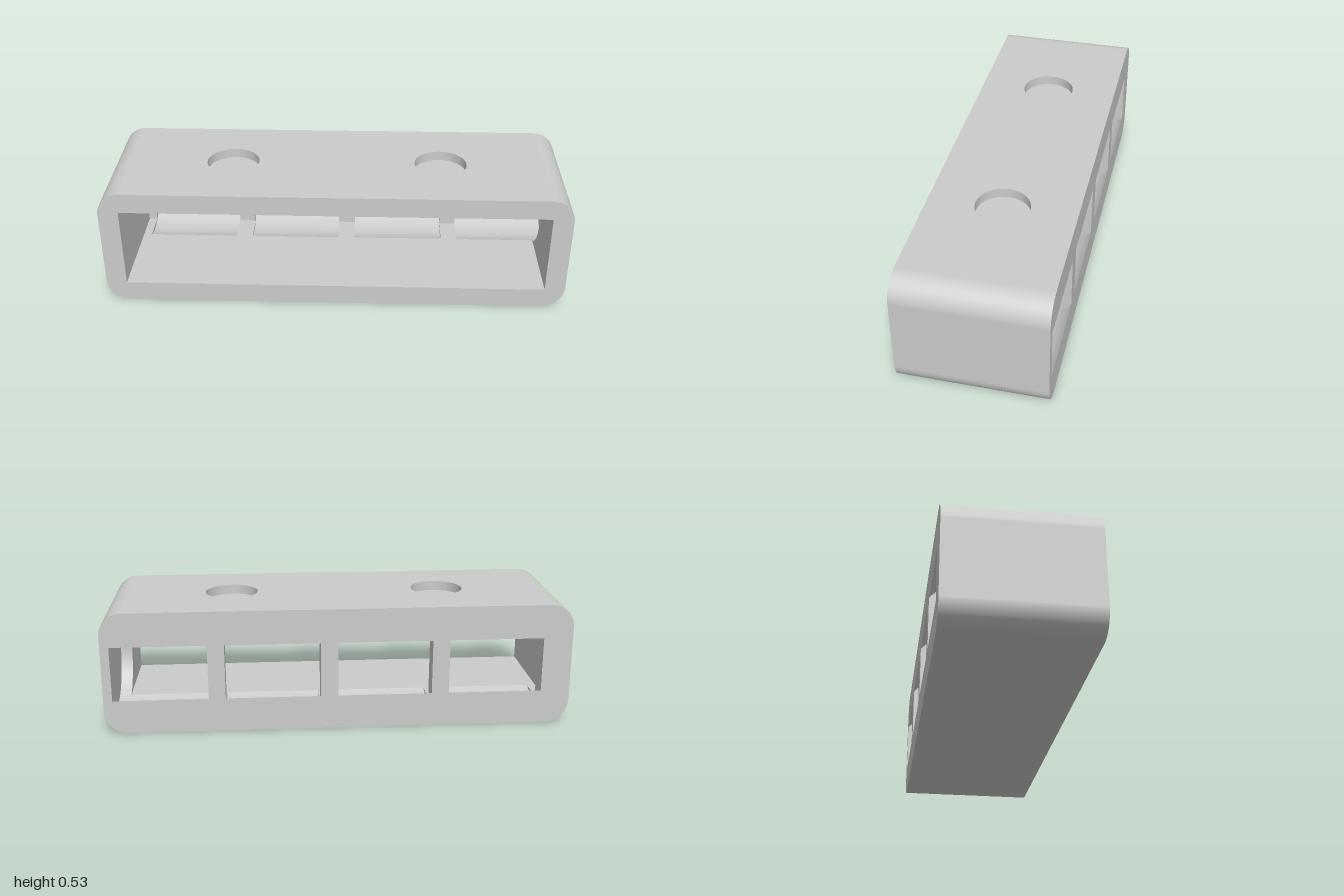
import * as THREE from 'three';

// Coordinates: x = width, y = height, d = depth toward the back (d = -z)
const W = 1, H = 0.533, D = 0.31, R = 0.1;            // outer body
const IX = 0.912, Y0 = 0.088, Y1 = 0.445, DB = 0.222; // inner cavity
const CY = 0.2665, CD = 0.158, CR = 0.193;            // round pocket cut by each window
const HOLE_X = 0.455, HOLE_R = 0.114, HOLE_DEPTH = 0.042;
const windows = [[-0.875, -0.472], [-0.398, 0.005], [0.08, 0.485], [0.557, 0.962]];

// Pocket angles at the back face and at the cavity floor
const aBack = Math.acos((D - CD) / CR);
const aFloor = Math.PI - Math.asin((CY - Y0) / CR);
const floorD = CD + CR * Math.cos(aFloor);
const backHalf = CR * Math.sin(aBack);

const material = new THREE.MeshStandardMaterial({ color: 0xcccccc, side: THREE.DoubleSide });

export function createModel() {
  const model = new THREE.Group();
  const add = (name, geometry) => {
    const mesh = new THREE.Mesh(geometry, material);
    mesh.name = name;
    model.add(mesh);
    return mesh;
  };
  const rect = (x0, y0, x1, y1, Type = THREE.Shape) =>
    new Type([[x0, y0], [x1, y0], [x1, y1], [x0, y1]].map(p => new THREE.Vector2(...p)));
  const flat = shape => new THREE.ShapeGeometry(shape, 40);
  const upright = (shape, z) => flat(shape).translate(0, 0, z);
  const level = (shape, y) => flat(shape).rotateX(-Math.PI / 2).translate(0, y, 0);
  const sideways = (shape, x) => flat(shape).rotateY(Math.PI / 2).translate(x, 0, 0);

  // Smooth sheet: a row of points swept between two ends
  const sheet = (points, place) => {
    const n = points.length - 1;
    const g = new THREE.PlaneGeometry(1, 1, n, 1);
    const pos = g.attributes.position;
    for (let i = 0; i < pos.count; i++) {
      pos.setXYZ(i, ...place(points[i % (n + 1)], i > n ? 1 : 0));
    }
    g.computeVertexNormals();
    return g;
  };
  const arc = (a0, a1, n = 20) => Array.from({ length: n + 1 }, (_, i) => {
    const a = a0 + (a1 - a0) * i / n;
    return new THREE.Vector2(CD + CR * Math.cos(a), CY + CR * Math.sin(a));
  });
  const acrossX = (x0, x1) => (p, t) => [t ? x1 : x0, p.y, -p.x];

  // Rounded outline, open along the flat top
  const outline = (Type) => {
    const p = new Type();
    p.moveTo(W - R, H);
    p.absarc(W - R, H - R, R, Math.PI / 2, 0, true);
    p.absarc(W - R, R, R, 0, -Math.PI / 2, true);
    p.absarc(-W + R, R, R, -Math.PI / 2, -Math.PI, true);
    p.absarc(-W + R, H - R, R, Math.PI, Math.PI / 2, true);
    return p;
  };
  const rim = outline(THREE.Path).getPoints(20)
    .filter((p, i, all) => !i || p.distanceTo(all[i - 1]) > 1e-5);
  add('outerShell', sheet(rim, (p, t) => [p.x, p.y, t ? D : -D]));

  // Top face with two blind round recesses
  const top = rect(-W + R, -D, W - R, D);
  for (const s of [-1, 1]) {
    top.holes.push(new THREE.Path().absarc(s * HOLE_X, 0, HOLE_R, 0, Math.PI * 2, true));
    add('recessWall', new THREE.CylinderGeometry(HOLE_R, HOLE_R, HOLE_DEPTH, 48, 1, true)
      .translate(s * HOLE_X, H - HOLE_DEPTH / 2, 0));
    add('recessBottom', new THREE.CircleGeometry(HOLE_R, 48).rotateX(-Math.PI / 2)
      .translate(s * HOLE_X, H - HOLE_DEPTH, 0));
  }
  add('topFace', level(top, H));

  // Front rim and back face
  const front = outline(THREE.Shape);
  front.holes.push(rect(-IX, Y0, IX, Y1, THREE.Path));
  add('frontRim', upright(front, D));
  const back = outline(THREE.Shape);
  for (const [x0, x1] of windows) {
    back.holes.push(rect(x0, CY - backHalf, x1, CY + backHalf, THREE.Path));
  }
  add('backFace', upright(back, -D).rotateY(0));

  // Cavity floor and ceiling, notched where the pockets cut in
  const notched = new THREE.Shape().moveTo(-IX, -D);
  notched.lineTo(-IX, DB);
  for (const [x0, x1] of windows) {
    const xe = Math.min(x1, IX);
    notched.lineTo(x0, DB);
    notched.lineTo(x0, floorD);
    notched.lineTo(xe, floorD);
    if (xe < IX) notched.lineTo(xe, DB);
  }
  notched.lineTo(IX, -D);
  add('cavityFloor', level(notched, Y0));
  add('cavityCeiling', level(notched, Y1));

  // Cavity side walls; the left one is bitten by the last pocket
  add('rightCavityWall', sideways(rect(-D, Y0, DB, Y1), -IX));
  const bitten = new THREE.Shape([
    new THREE.Vector2(-D, Y0), ...arc(2 * Math.PI - aFloor, aFloor, 32), new THREE.Vector2(-D, Y1),
  ]);
  add('leftCavityWall', sideways(bitten, IX));

  // Dividers between the windows
  let edge = -IX;
  for (const [x0, x1] of windows) {
    add('dividerFront', upright(rect(edge, Y0, x0, Y1), -DB));
    edge = x1;
  }

  // Window pockets: curved sill and head, plus the end walls
  const lower = arc(-aBack, -aFloor), upper = arc(aFloor, aBack);
  const endWall = new THREE.Shape([
    ...lower, new THREE.Vector2(DB, Y0), new THREE.Vector2(DB, Y1), ...upper,
  ]);
  for (const [x0, x1] of windows) {
    add('windowSill', sheet(lower, acrossX(x0, x1)));
    add('windowHead', sheet(upper, acrossX(x0, x1)));
    add('windowSide', sideways(endWall, x0));
    if (x1 < IX) add('windowSide', sideways(endWall, x1));
    else {
      add('pocketEnd', sideways(new THREE.Shape(arc(aBack, 2 * Math.PI - aBack, 48)), x1));
      add('pocketCurve', sheet(arc(aFloor, 2 * Math.PI - aFloor), acrossX(IX, x1)));
    }
  }
  return model;
}
